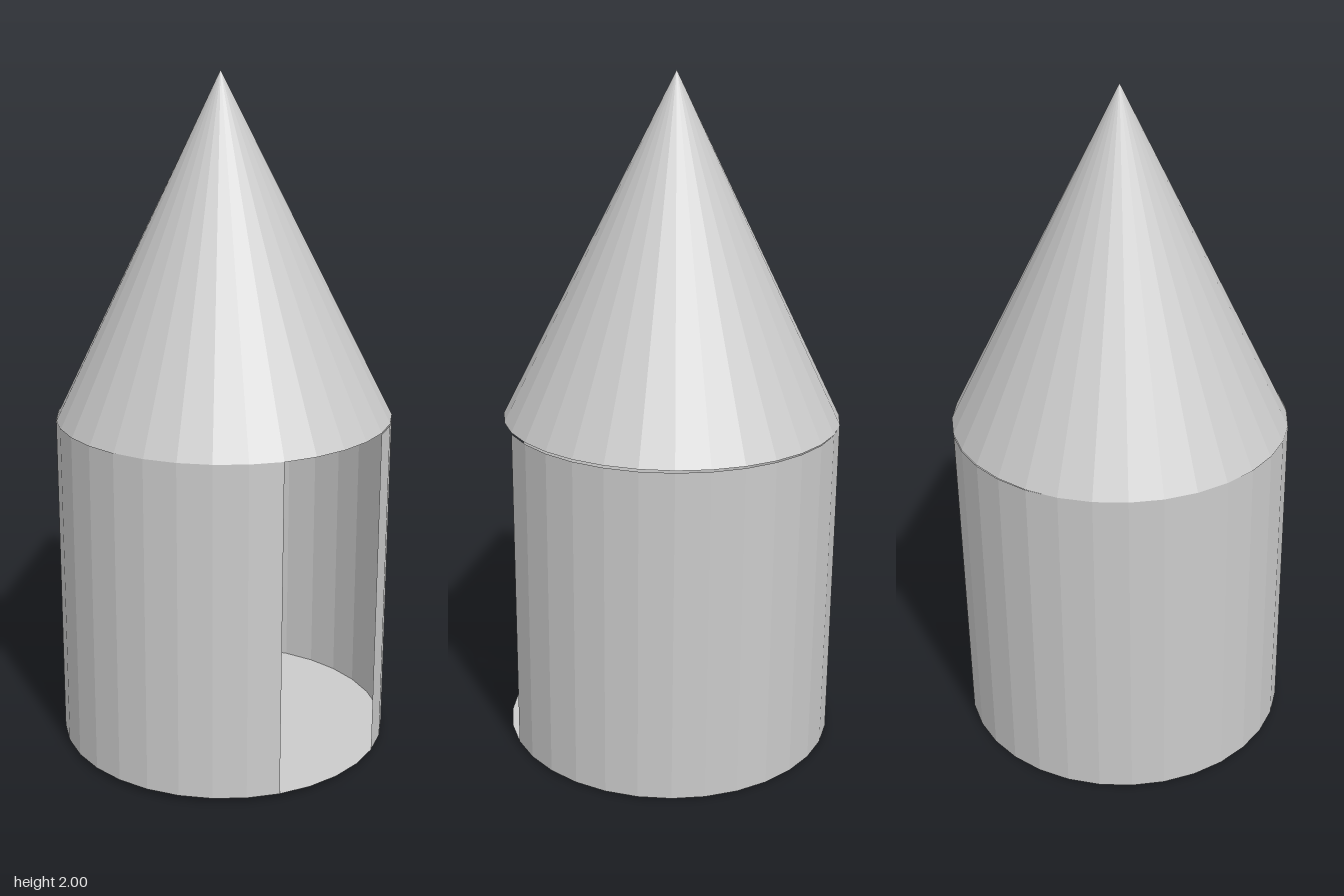
import * as THREE from 'three';

const RADIUS = 0.497, HEIGHT = 0.996, SIDES = 32;

export function createModel() {
  const model = new THREE.Group();
  const material = new THREE.MeshStandardMaterial({
    color: 0xcccccc, flatShading: true, side: THREE.DoubleSide,
  });

  const addPart = (parent, name, geometry, y = 0) => {
    const mesh = new THREE.Mesh(geometry, material);
    mesh.name = name;
    mesh.position.y = y;
    parent.add(mesh);
    return mesh;
  };

  // Body: thin round wall with a 45 degree doorway, on a full disc, leaning slightly
  const body = new THREE.Group();
  body.name = 'body';
  body.position.set(-0.004, 0.0085, 0.011);
  body.rotation.set(-0.013, 0, -0.0066);
  const door = Math.PI / 4;
  addPart(body, 'wall', new THREE.CylinderGeometry(
    RADIUS, RADIUS, HEIGHT, SIDES * 7 / 8, 1, true, door, Math.PI * 2 - door), HEIGHT / 2);
  addPart(body, 'floor', new THREE.CircleGeometry(RADIUS, SIDES).rotateX(Math.PI / 2));
  model.add(body);

  // Roof: closed cone resting on the wall with its own slight lean
  const roof = new THREE.Group();
  roof.name = 'roof';
  roof.position.set(0.003, 0.0085 + HEIGHT, -0.002);
  roof.rotation.set(-0.0115, 0, 0.0066);
  addPart(roof, 'cone', new THREE.ConeGeometry(RADIUS, HEIGHT, SIDES), HEIGHT / 2);
  model.add(roof);

  return model;
}
